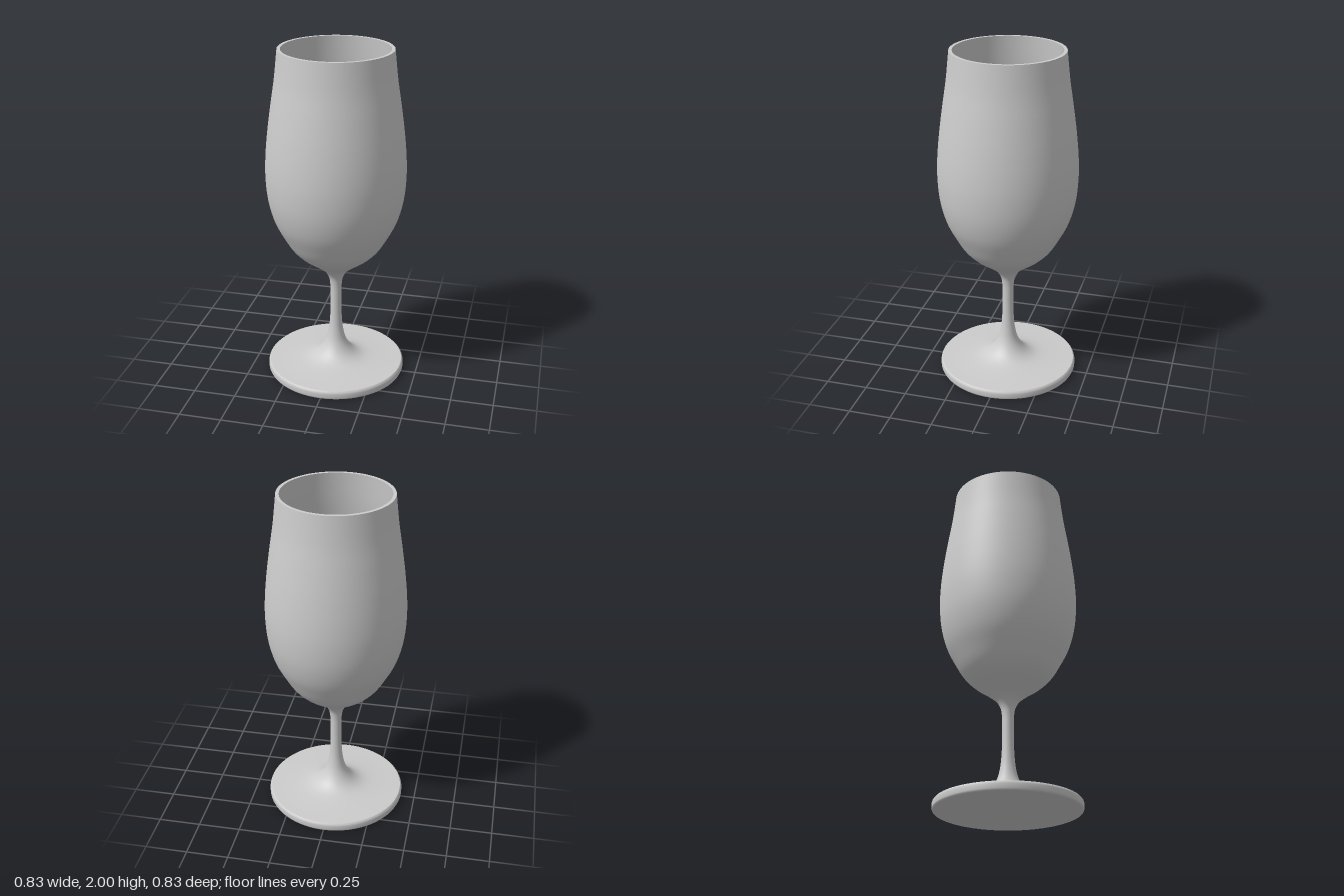
import * as THREE from 'three';

const material = new THREE.MeshStandardMaterial({ color: 0xcccccc });

// Revolves a profile of [radius, height] pairs; samples > 0 smooths it with a spline.
function revolve(name, profile, samples = 0) {
  let points = profile.map(([r, y]) => new THREE.Vector2(r, y));
  if (samples) {
    points = new THREE.SplineCurve(points).getPoints(samples);
    points.forEach((p) => { p.x = Math.max(p.x, 0); });
  }
  const mesh = new THREE.Mesh(new THREE.LatheGeometry(points, 96), material);
  mesh.name = name;
  return mesh;
}

export function createModel() {
  const glass = new THREE.Group();
  glass.name = 'stemmedGlass';

  // Flat underside and rounded edge of the foot
  glass.add(revolve('footUnderside', [[0, 0], [0.405, 0]]));
  glass.add(revolve('footEdge', [
    [0.405, 0], [0.412, 0.003], [0.416, 0.012], [0.416, 0.036], [0.413, 0.046], [0.406, 0.053],
  ]));

  // Top of the foot, flaring up into the slender stem
  glass.add(revolve('footAndStem', [
    [0.406, 0.053], [0.3, 0.058], [0.2, 0.068], [0.14, 0.088], [0.095, 0.125], [0.062, 0.18],
    [0.044, 0.25], [0.036, 0.33], [0.033, 0.42], [0.033, 0.5],
  ], 48));

  // Tulip-shaped outside of the bowl
  glass.add(revolve('bowlOutside', [
    [0.033, 0.5], [0.035, 0.56], [0.045, 0.61], [0.075, 0.655], [0.13, 0.7], [0.2, 0.75], [0.26, 0.81],
    [0.31, 0.89], [0.36, 0.99], [0.393, 1.11], [0.406, 1.24], [0.404, 1.37], [0.39, 1.52],
    [0.368, 1.68], [0.345, 1.83], [0.326, 2],
  ], 80));

  // Flat rim
  glass.add(revolve('rim', [[0.326, 2], [0.307, 2]]));

  // Inside of the bowl, following the outer wall down to a small dip
  glass.add(revolve('bowlInside', [
    [0.307, 2], [0.325, 1.83], [0.348, 1.68], [0.37, 1.52], [0.384, 1.37], [0.386, 1.24],
    [0.373, 1.11], [0.342, 1], [0.293, 0.9], [0.245, 0.825], [0.188, 0.767], [0.118, 0.717],
    [0.06, 0.68], [0.02, 0.655], [0, 0.642],
  ], 70));

  return glass;
}
